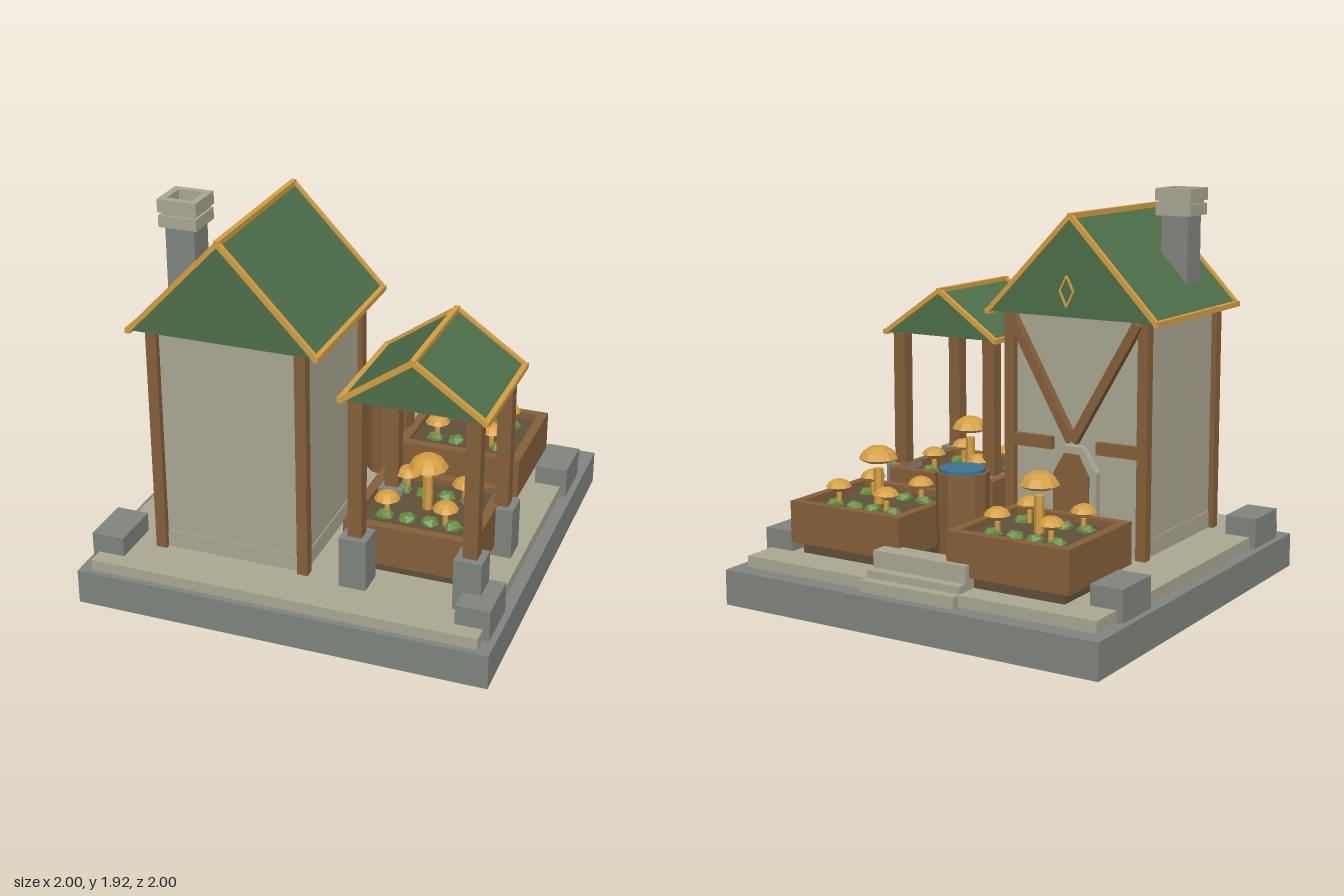
import * as THREE from 'three';

const mat = (name, color) => {
  const m = new THREE.MeshStandardMaterial({ color });
  m.name = name;
  return m;
};
const flat = (g) => {
  const n = g.index ? g.toNonIndexed() : g;
  n.computeVertexNormals();
  return n;
};

export function createModel() {
  const stone = mat('grey stone', 0x80847e);
  const plaster = mat('pale stone', 0xaaa792);
  const green = mat('roof green', 0x4c6f4a);
  const wood = mat('timber', 0x85603a);
  const soil = mat('soil', 0x5f5039);
  const gold = mat('gold', 0xd49e40);
  const leaf = mat('leaf', 0x668f44);
  const water = mat('water', 0x3a7594);

  const model = new THREE.Group();
  const add = (parent, name, geo, material, x = 0, y = 0, z = 0) => {
    const m = new THREE.Mesh(geo, material);
    m.name = name;
    m.position.set(x, y, z);
    parent.add(m);
    return m;
  };
  const group = (name, parent = model) => {
    const g = new THREE.Group();
    g.name = name;
    parent.add(g);
    return g;
  };
  // Box given by its limits on each axis
  const box = (parent, name, material, x0, x1, y0, y1, z0, z1) =>
    add(parent, name, new THREE.BoxGeometry(x1 - x0, y1 - y0, z1 - z0), material,
      (x0 + x1) / 2, (y0 + y1) / 2, (z0 + z1) / 2);
  // Square bar between two points
  const bar = (parent, name, material, a, b, w, d = w) => {
    const p = new THREE.Vector3(...a), q = new THREE.Vector3(...b);
    const dir = q.clone().sub(p);
    const m = add(parent, name, new THREE.BoxGeometry(w, dir.length(), d), material);
    m.position.copy(p).add(q).multiplyScalar(0.5);
    m.quaternion.setFromUnitVectors(new THREE.Vector3(0, 1, 0), dir.normalize());
    return m;
  };
  const plate = (points, depth) => new THREE.ExtrudeGeometry(
    new THREE.Shape(points.map(([x, y]) => new THREE.Vector2(x, y))), { depth, bevelEnabled: false });

  // Terrace, corner blocks and steps
  const terrace = group('terrace');
  box(terrace, 'base', stone, -1, 1, 0, 0.17, -1, 1);
  box(terrace, 'paving', plaster, -0.94, 0.94, 0.17, 0.225, -0.91, 0.97);
  for (const s of [-1, 1]) for (const z of [-0.607, 0.76]) {
    add(terrace, 'cornerBlock', new THREE.BoxGeometry(0.16, 0.15, 0.257), stone, s * 0.89, 0.245, z);
  }
  [[-0.95, 0.225], [-0.9, 0.26], [-0.85, 0.34]].forEach(([z, y]) =>
    box(terrace, 'step', plaster, -0.25, 0.25, 0.17, y, z, -0.74));

  // Closed gable roof with gold edging
  const roof = (parent, cx, half, y0, y1, z0, z1) => {
    const g = group('roof', parent);
    add(g, 'roofBody', plate([[cx - half, y0], [cx + half, y0], [cx, y1]], z1 - z0), green, 0, 0, z0);
    bar(g, 'ridgeTrim', gold, [cx, y1, z0 - 0.01], [cx, y1, z1 + 0.01], 0.025);
    for (const s of [-1, 1]) {
      const ex = cx + s * half;
      bar(g, 'eaveTrim', gold, [ex, y0, z0 - 0.01], [ex, y0, z1 + 0.01], 0.025);
      for (const z of [z0, z1]) bar(g, 'rakeTrim', gold, [ex, y0, z], [cx, y1, z], 0.023);
    }
  };

  // House walls and corner posts
  const house = group('house');
  box(house, 'walls', plaster, -0.68, 0.035, 0.225, 1.36, 0, 0.72);
  box(house, 'foundation', plaster, -0.685, 0.04, 0.225, 0.31, -0.005, 0.725);
  for (const x of [-0.682, 0.035]) for (const z of [-0.005, 0.725]) {
    add(house, 'cornerPost', new THREE.BoxGeometry(0.052, 1.125, 0.052), wood, x, 0.7875, z);
  }
  roof(house, -0.32, 0.45, 1.35, 1.82, -0.07, 0.79);

  // Timber framing on the back wall
  for (const s of [-1, 1]) {
    bar(house, 'brace', wood, [-0.32 + s * 0.34, 1.34, -0.035], [-0.32 + s * 0.005, 0.76, -0.035], 0.045, 0.04);
    box(house, 'rail', wood, -0.32 + (s < 0 ? -0.35 : 0.12), -0.32 + (s < 0 ? -0.12 : 0.35), 0.705, 0.765, -0.03, 0.01);
  }

  // Pointed back door
  const doorShape = (w, shoulder, top) => [[-w, 0.225], [w, 0.225], [w, shoulder], [w * 0.4, top], [-w * 0.4, top], [-w, shoulder]];
  add(house, 'doorSurround', plate(doorShape(0.13, 0.62, 0.735), 0.045), plaster, -0.32, 0, -0.043);
  add(house, 'door', plate(doorShape(0.095, 0.6, 0.7), 0.02), wood, -0.32, 0, -0.055);
  add(house, 'doorKnob', flat(new THREE.IcosahedronGeometry(0.014, 0)), gold, -0.38, 0.44, -0.06);

  // Diamond ornament on the back gable
  const diamond = group('gableDiamond', house);
  const tips = [[0, 0.073], [0.036, 0], [0, -0.073], [-0.036, 0]];
  tips.forEach(([x, y], i) => {
    const [u, v] = tips[(i + 1) % 4];
    bar(diamond, 'diamondEdge', gold, [x - 0.322, y + 1.475, -0.105], [u - 0.322, v + 1.475, -0.105], 0.009);
  });

  // Chimney with two hollow caps
  const chimney = group('chimney', house);
  const cx = -0.583, cz = 0.54;
  add(chimney, 'shaft', new THREE.BoxGeometry(0.14, 0.48, 0.14), stone, cx, 1.64, cz);
  const ring = (half, hole, y, h) => {
    const square = (r, path) => path.moveTo(-r, -r).lineTo(r, -r).lineTo(r, r).lineTo(-r, r).closePath();
    const shape = square(half, new THREE.Shape());
    shape.holes.push(square(hole, new THREE.Path()));
    const m = add(chimney, 'chimneyCap', new THREE.ExtrudeGeometry(shape, { depth: h, bevelEnabled: false }), plaster, cx, y, cz);
    m.rotation.x = -Math.PI / 2;
  };
  ring(0.092, 0.06, 1.795, 0.055);
  ring(0.08, 0.06, 1.85, 0.015);
  ring(0.094, 0.06, 1.865, 0.06);

  // Open shelter on four footed posts
  const shelter = group('shelter');
  for (const x of [0.288, 0.828]) for (const z of [0.208, 0.71]) {
    add(shelter, 'footing', new THREE.BoxGeometry(0.13, 0.25, 0.133), stone, x, 0.35, z);
    add(shelter, 'shelterPost', new THREE.BoxGeometry(0.067, 0.7, 0.067), wood, x, 0.82, z);
  }
  roof(shelter, 0.56, 0.33, 1.165, 1.395, 0.15, 0.77);

  // Mushroom: faceted cap over a six-sided stem
  const mushroom = (parent, x, z, r, capY, capH, stemR, stemTop) => {
    const g = group('mushroom', parent);
    const profile = [[0, 0], [0.68, 0], [1, 0.22], [0.78, 0.66], [0.42, 0.97], [0, 1]]
      .map(([a, b]) => new THREE.Vector2(a * r, b * capH));
    add(g, 'cap', flat(new THREE.LatheGeometry(profile, 10)), gold, x, capY, z);
    add(g, 'stem', flat(new THREE.CylinderGeometry(stemR, stemR, stemTop - 0.42, 6)), gold, x, (stemTop + 0.42) / 2, z);
  };

  // Raised planters
  const planter = (px, pz) => {
    const g = group('planter');
    g.position.set(px, 0, pz);
    box(g, 'soilBed', soil, -0.27, 0.27, 0.225, 0.45, -0.242, 0.242);
    for (const s of [-1, 1]) {
      add(g, 'longBoard', new THREE.BoxGeometry(0.625, 0.2, 0.045), wood, 0, 0.38, s * 0.26);
      add(g, 'shortBoard', new THREE.BoxGeometry(0.045, 0.2, 0.475), wood, s * 0.29, 0.38, 0);
    }
    mushroom(g, 0, -0.005, 0.095, 0.655, 0.073, 0.024, 0.622);
    [[-0.143, -0.143], [0.144, -0.126], [-0.156, 0.12], [0.127, 0.122]].forEach(([x, z]) =>
      mushroom(g, x, z, 0.062, 0.53, 0.044, 0.013, 0.508));
    for (const z of [-0.13, 0.126]) [-0.165, -0.054, 0.052, 0.165].forEach((x, i) => {
      const bush = add(g, 'bush', flat(new THREE.IcosahedronGeometry(0.046, 0)), leaf, x, 0.452, z);
      bush.scale.y = 0.7;
      bush.rotation.y = i * 1.3;
    });
  };
  planter(-0.443, -0.54);
  planter(0.48, -0.483);
  planter(0.5, 0.34);

  // Water barrel
  const barrel = group('barrel');
  barrel.position.set(0.057, 0, -0.405);
  add(barrel, 'barrelBody', flat(new THREE.CylinderGeometry(0.127, 0.122, 0.42, 12)), wood, 0, 0.435, 0);
  add(barrel, 'barrelWater', flat(new THREE.CylinderGeometry(0.11, 0.11, 0.02, 12)), water, 0, 0.65, 0);

  return model;
}
